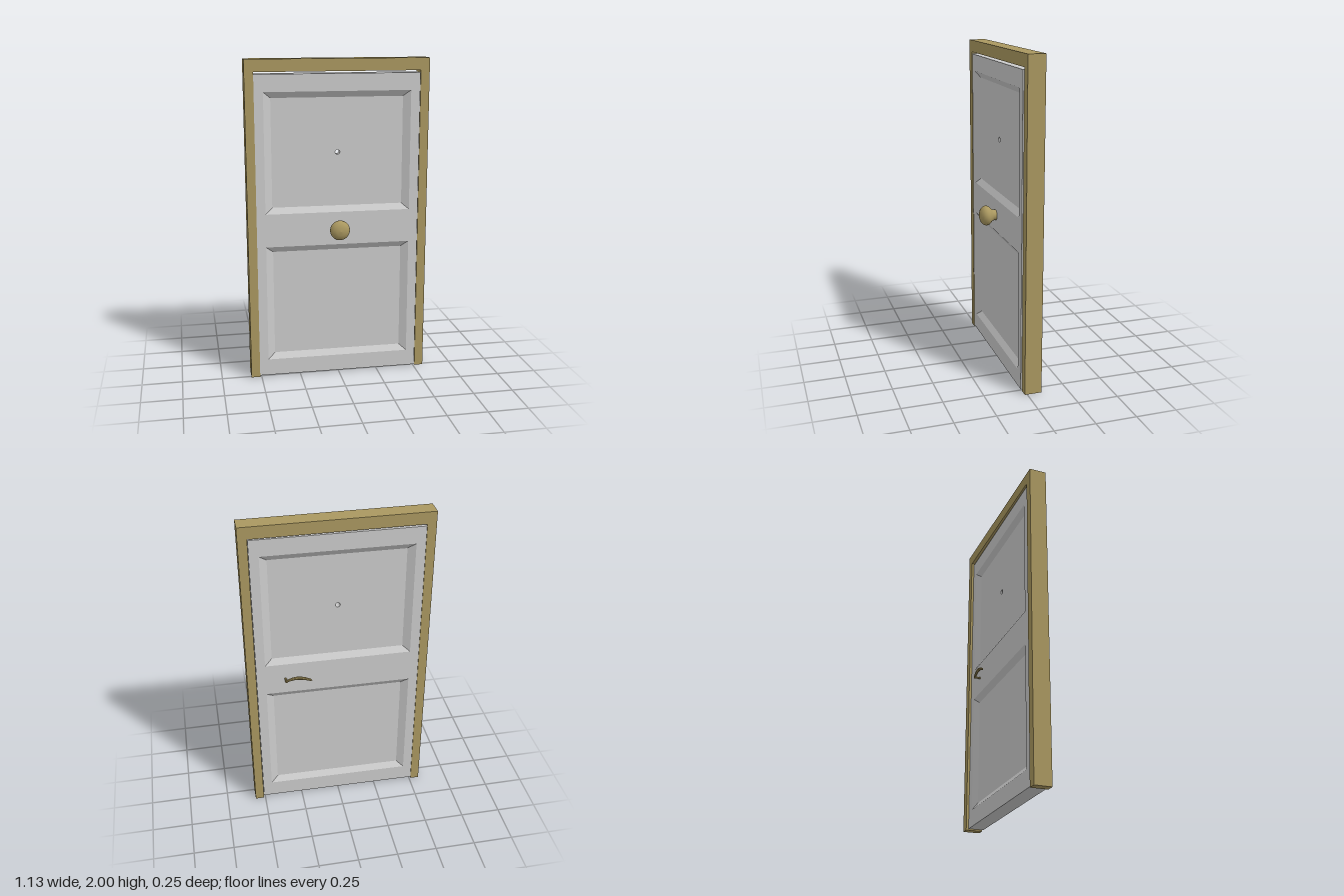
import * as THREE from 'three';

const brass = new THREE.MeshStandardMaterial({ color: 0xaa9860 });
const brassFlat = new THREE.MeshStandardMaterial({ color: 0xaa9860, flatShading: true });
const grey = new THREE.MeshStandardMaterial({ color: 0xcccccc });

const HALF = 0.5085, BOTTOM = 0.008, TOP = 1.912, THICK = 0.097, RECESS = 0.025;
const PEEP_Y = 1.435, PEEP_R = 0.015;
const PANELS = [[0.113, 0.855], [1.063, 1.807]];

function mesh(name, geometry, material) {
  const m = new THREE.Mesh(geometry, material);
  m.name = name;
  return m;
}

// Corners of a rectangle, anticlockwise from the front
const rect = (hw, y0, y1) => [[-hw, y0], [hw, y0], [hw, y1], [-hw, y1]];
const outline = (Type, corners) => new Type(corners.map(([x, y]) => new THREE.Vector2(x, y)));

// Four separate quads joining rectangle a at depth za to rectangle b at depth zb
function ring(a, za, b, zb) {
  const pos = [];
  for (let i = 0; i < 4; i++) {
    const j = (i + 1) % 4;
    const p = [...a[i], za], q = [...a[j], za], r = [...b[j], zb], s = [...b[i], zb];
    pos.push(...p, ...q, ...r, ...p, ...r, ...s);
  }
  const g = new THREE.BufferGeometry();
  g.setAttribute('position', new THREE.Float32BufferAttribute(pos, 3));
  g.computeVertexNormals();
  return g;
}

// One face of the door: rails around two recessed panels with sloping edges
function doorFace(name) {
  const face = new THREE.Group();
  face.name = name;
  const rails = outline(THREE.Shape, rect(HALF, BOTTOM, TOP));
  for (const [y0, y1] of PANELS) {
    const outer = rect(0.452, y0, y1);
    const inner = rect(0.407, y0 + 0.037, y1 - 0.037);
    rails.holes.push(outline(THREE.Path, outer));
    face.add(mesh('panelBevel', ring(outer, 0, inner, -RECESS), grey));
    const field = outline(THREE.Shape, inner);
    if (y0 < PEEP_Y && PEEP_Y < y1) {
      field.holes.push(new THREE.Path().absarc(0, PEEP_Y, PEEP_R, 0, Math.PI * 2, true));
    }
    const panel = mesh('panel', new THREE.ShapeGeometry(field, 6), grey);
    panel.position.z = -RECESS;
    face.add(panel);
  }
  face.add(mesh('rails', new THREE.ShapeGeometry(rails), grey));
  return face;
}

// Tube whose radius follows a function of its length
function taperedTube(curve, segments, sides, radiusAt) {
  const g = new THREE.TubeGeometry(curve, segments, 1, sides);
  const pos = g.attributes.position, v = new THREE.Vector3();
  for (let i = 0; i < pos.count; i++) {
    const t = Math.floor(i / (sides + 1)) / segments;
    const c = curve.getPointAt(t);
    v.fromBufferAttribute(pos, i).sub(c).multiplyScalar(radiusAt(t)).add(c);
    pos.setXYZ(i, v.x, v.y, v.z);
  }
  g.computeVertexNormals();
  return g;
}

export function createModel() {
  const model = new THREE.Group();
  model.name = 'door';

  // Frame: two posts and a head in one piece
  const frameShape = outline(THREE.Shape, [
    [-0.565, 0], [-0.51, 0], [-0.51, 1.925], [0.51, 1.925],
    [0.51, 0], [0.565, 0], [0.565, 2], [-0.565, 2],
  ]);
  const frame = mesh('frame',
    new THREE.ExtrudeGeometry(frameShape, { depth: 0.105, bevelEnabled: false }), brass);
  frame.position.z = -0.09;
  model.add(frame);

  // Leaf, hung on the -x side and standing very slightly open
  const hinge = new THREE.Group();
  hinge.name = 'hinge';
  hinge.position.set(-0.511, 0, 0.0115);
  hinge.rotation.y = -0.0095;
  model.add(hinge);
  const leaf = new THREE.Group();
  leaf.name = 'leaf';
  leaf.position.x = HALF;
  hinge.add(leaf);

  const back = doorFace('backFace');
  back.rotation.y = Math.PI;
  back.position.z = -THICK;
  const edge = rect(HALF, BOTTOM, TOP);
  leaf.add(doorFace('frontFace'), back, mesh('leafEdges', ring(edge, -THICK, edge, 0), grey));

  // Peephole lining, open right through the leaf
  const lining = mesh('peephole', new THREE.CylinderGeometry(PEEP_R, PEEP_R, THICK - 2 * RECESS, 12, 1, true),
    new THREE.MeshStandardMaterial({ color: 0xcccccc, side: THREE.DoubleSide }));
  lining.rotation.x = Math.PI / 2;
  lining.position.set(0, PEEP_Y, -THICK / 2);
  leaf.add(lining);

  // Round knob on the front
  const profile = [
    [0.034, -0.001], [0.034, 0.018], [0.038, 0.026], [0.052, 0.039], [0.061, 0.053], [0.062, 0.065],
    [0.058, 0.078], [0.046, 0.092], [0.025, 0.101], [0, 0.104],
  ].map(([r, h]) => new THREE.Vector2(r, h));
  const knob = mesh('knob', new THREE.LatheGeometry(profile, 20), brass);
  knob.rotation.x = Math.PI / 2;
  knob.position.set(0, 0.96, 0);
  leaf.add(knob);

  // Arched lever on the back
  const handle = new THREE.Group();
  handle.name = 'leverHandle';
  const stem = mesh('leverStem', new THREE.CylinderGeometry(0.007, 0.007, 0.042, 8), brassFlat);
  stem.rotation.x = Math.PI / 2;
  stem.position.set(0.33, 0.958, -0.116);
  const arch = new THREE.CatmullRomCurve3([
    [0.338, 0.955, -0.134], [0.315, 0.968, -0.134], [0.27, 0.979, -0.136],
    [0.22, 0.972, -0.136], [0.168, 0.95, -0.135],
  ].map((p) => new THREE.Vector3(...p)));
  const grip = mesh('leverGrip', taperedTube(arch, 14, 8,
    (t) => (t === 0 || t === 1 ? 0 : 0.006 + 0.004 * Math.sin(Math.PI * t))), brassFlat);
  handle.add(stem, grip);
  leaf.add(handle);

  return model;
}
